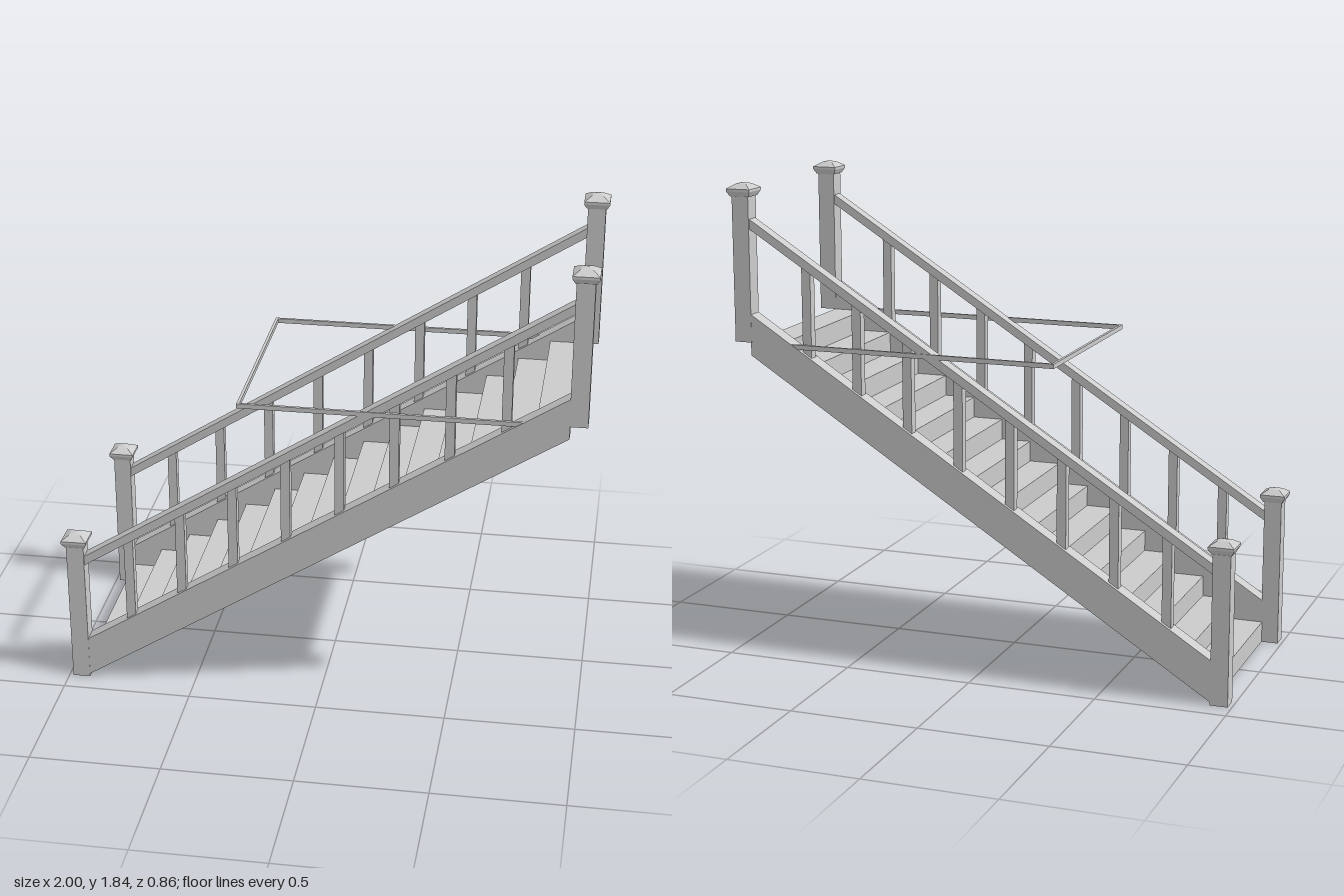
import * as THREE from 'three';

const mat = new THREE.MeshStandardMaterial({ color: 0xcccccc, flatShading: true, side: THREE.DoubleSide });

const START = -0.92, END = 0.92, STEPS = 15, TOP = 1.23;
const SIDE_Z = 0.383; // centre line of each balustrade
const SLOPE = 1.17 / (END - START);
const along = (x, y0) => y0 + (x - START) * SLOPE; // height of a line parallel to the flight

function add(parent, name, geometry, x = 0, y = 0, z = 0) {
  const mesh = new THREE.Mesh(geometry, mat);
  mesh.name = name;
  mesh.position.set(x, y, z);
  parent.add(mesh);
  return mesh;
}

// Piece with vertical ends whose top and bottom follow the flight
function slanted(x0, x1, low, high, depth) {
  const shape = new THREE.Shape([
    new THREE.Vector2(x0, along(x0, low)),
    new THREE.Vector2(x1, along(x1, low)),
    new THREE.Vector2(x1, along(x1, high)),
    new THREE.Vector2(x0, along(x0, high)),
  ]);
  return new THREE.ExtrudeGeometry(shape, { depth, bevelEnabled: false }).translate(0, 0, -depth / 2);
}

// Square cap with a flared underside and a low pyramid top
function capGeometry() {
  const profile = [[0, 0], [0.038, 0], [0.049, 0.02], [0.049, 0.03], [0.022, 0.047], [0, 0.052]]
    .map(([half, y]) => new THREE.Vector2(half * Math.SQRT2, y));
  return new THREE.LatheGeometry(profile, 4).rotateY(Math.PI / 4);
}

function createPost(name, x, base, height) {
  const post = new THREE.Group();
  post.name = name;
  add(post, 'postShaft', new THREE.BoxGeometry(0.068, height, 0.066), 0, height / 2, 0);
  add(post, 'postCap', capGeometry(), 0, height, 0);
  post.position.set(x, base, 0);
  return post;
}

function createBalustrade(name, z) {
  const side = new THREE.Group();
  side.name = name;
  add(side, 'stringer', slanted(START, END, 0.01, 0.17, 0.064));
  add(side, 'handrail', slanted(START, END, 0.497, 0.535, 0.052));
  for (let i = 0; i < 8; i++) {
    const x = -0.742 + i * 0.2046;
    add(side, 'baluster', slanted(x - 0.018, x + 0.018, 0.16, 0.51, 0.036));
  }
  side.add(createPost('lowerPost', -0.951, 0, 0.578));
  side.add(createPost('upperPost', 0.951, TOP, 0.558));
  side.position.z = z;
  return side;
}

// Thin folded sheet of risers and treads
function createSteps() {
  const rise = TOP / STEPS, run = (END - START) / STEPS, half = 0.353;
  const steps = new THREE.Group();
  steps.name = 'steps';
  for (let i = 0; i < STEPS; i++) {
    const x = START + i * run, y = i * rise;
    add(steps, 'riser', new THREE.PlaneGeometry(half * 2, rise).rotateY(-Math.PI / 2), x, y + rise / 2, 0);
    add(steps, 'tread', new THREE.PlaneGeometry(run, half * 2).rotateX(-Math.PI / 2), x + run / 2, y + rise, 0);
  }
  return steps;
}

// Slim horizontal frame around the stairwell opening
function createOpeningFrame() {
  const frame = new THREE.Group();
  frame.name = 'openingFrame';
  const x0 = -0.305, x1 = 0.915, h = 0.018, y = TOP - 0.006;
  for (const s of [1, -1]) {
    add(frame, 'frameSideBar', new THREE.BoxGeometry(x1 - x0, h, 0.011), (x0 + x1) / 2, y, s * 0.407);
  }
  add(frame, 'frameEndBar', new THREE.BoxGeometry(0.011, h, 0.82), x0 + 0.0055, y, 0);
  return frame;
}

export function createModel() {
  const model = new THREE.Group();
  model.name = 'staircase';
  model.add(createSteps());
  model.add(createBalustrade('frontBalustrade', SIDE_Z));
  model.add(createBalustrade('backBalustrade', -SIDE_Z));
  model.add(createOpeningFrame());
  return model;
}
